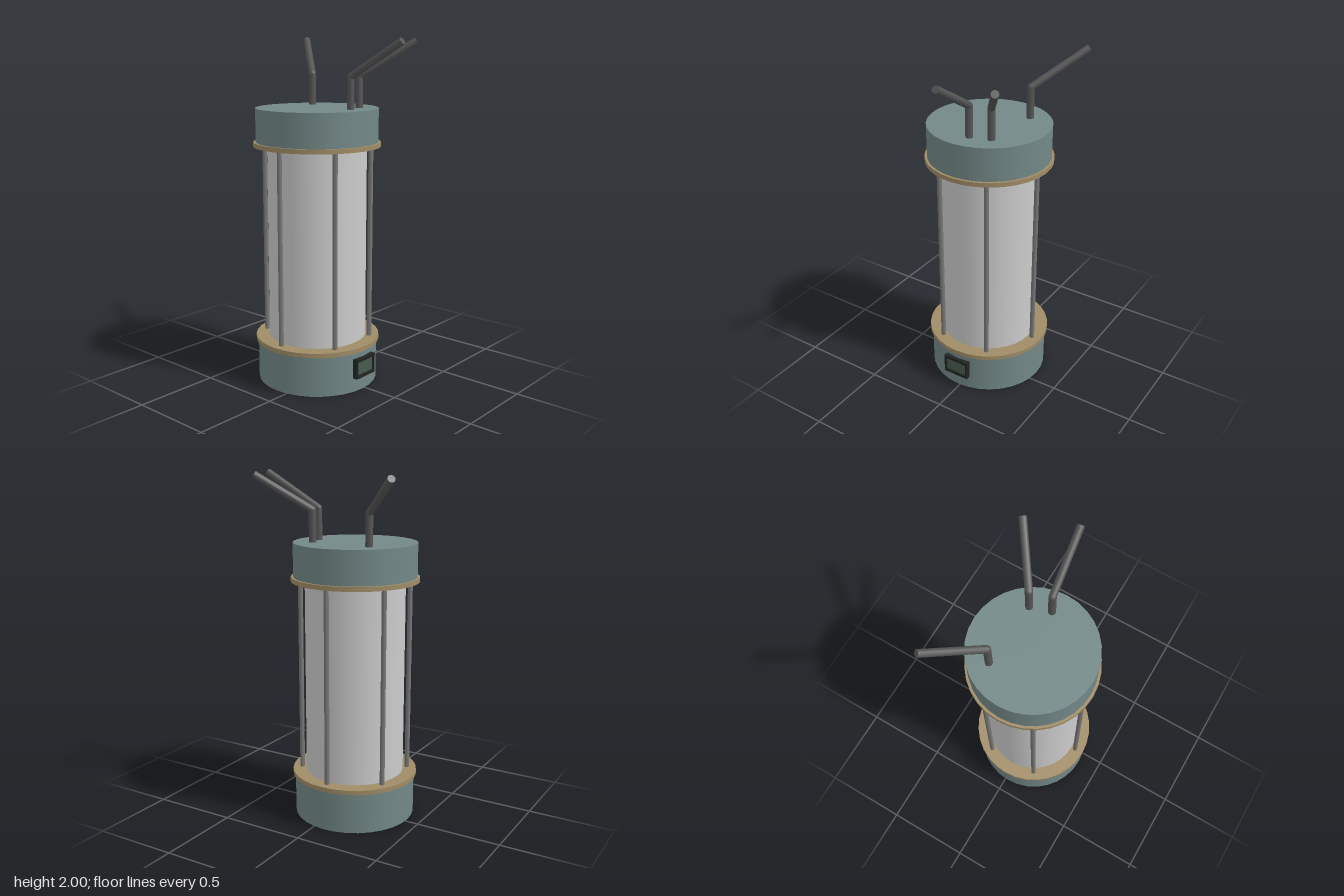
import * as THREE from 'three';

const mat = (color) => new THREE.MeshStandardMaterial({ color });

export function createModel() {
  const model = new THREE.Group();
  const teal = mat(0x728887), tan = mat(0xa08c66), metal = mat(0x777777);
  const dark = mat(0x555555), black = mat(0x222424), green = mat(0x465c4e), pale = mat(0xd0d4d2);

  const add = (name, geometry, material, parent) => {
    const mesh = new THREE.Mesh(geometry, material);
    mesh.name = name;
    parent.add(mesh);
    return mesh;
  };

  // Canister: stacked round parts on one axis
  const canister = new THREE.Group();
  canister.name = 'canister';
  canister.position.set(-0.017, 0, -0.068);
  model.add(canister);
  const disc = (name, r, y0, y1, material, sides = 32) => {
    const mesh = add(name, new THREE.CylinderGeometry(r, r, y1 - y0, sides), material, canister);
    mesh.position.y = (y0 + y1) / 2;
    return mesh;
  };
  disc('base', 0.352, 0, 0.24, teal);
  disc('lowerRing', 0.366, 0.238, 0.264, tan);
  disc('tank', 0.287, 0.26, 1.395, pale);
  disc('upperRing', 0.366, 1.389, 1.415, tan);
  disc('topCap', 0.352, 1.41, 1.608, teal);

  // Six tie rods around the tank
  for (let i = 0; i < 6; i++) {
    const a = (i * Math.PI) / 3;
    const rod = disc('tieRod', 0.014, 0.26, 1.395, metal, 12);
    rod.position.x = Math.cos(a) * 0.312;
    rod.position.z = Math.sin(a) * 0.312;
  }

  // Bent pipes on the top cap
  const up = new THREE.Vector3(0, 1, 0);
  const pipeRadius = 0.021;
  const segment = (name, from, to, parent) => {
    const dir = to.clone().sub(from);
    const mesh = add(name, new THREE.CylinderGeometry(pipeRadius, pipeRadius, dir.length(), 12), dark, parent);
    mesh.position.copy(from).add(to).multiplyScalar(0.5);
    mesh.quaternion.setFromUnitVectors(up, dir.normalize());
  };
  const pipes = [
    [0.004, 0.163, 0.033, 0.487],
    [0.121, 0.128, 0.306, 0.386],
    [0.139, -0.243, 0.358, -0.487],
  ];
  for (const [x0, z0, x1, z1] of pipes) {
    const pipe = new THREE.Group();
    pipe.name = 'bentPipe';
    model.add(pipe);
    const foot = new THREE.Vector3(x0, 1.59, z0);
    const elbow = new THREE.Vector3(x0, 1.787, z0);
    const tip = new THREE.Vector3(x1, 1.981, z1);
    segment('pipeStem', foot, elbow, pipe);
    segment('pipeArm', elbow, tip, pipe);
    add('pipeElbow', new THREE.SphereGeometry(pipeRadius, 12, 8), dark, pipe).position.copy(elbow);
  }

  // Display panel on the front of the base
  const display = new THREE.Group();
  display.name = 'display';
  display.position.set(-0.016, 0.142, 0.26);
  model.add(display);
  const rect = (Type, w, h) => new Type([
    new THREE.Vector2(-w / 2, -h / 2), new THREE.Vector2(w / 2, -h / 2),
    new THREE.Vector2(w / 2, h / 2), new THREE.Vector2(-w / 2, h / 2),
  ]);
  const frame = rect(THREE.Shape, 0.162, 0.116);
  frame.holes.push(rect(THREE.Path, 0.136, 0.08));
  add('displayFrame', new THREE.ExtrudeGeometry(frame, { depth: 0.045, bevelEnabled: false }), black, display);
  add('displayScreen', new THREE.BoxGeometry(0.14, 0.084, 0.036), green, display).position.z = 0.018;

  return model;
}
